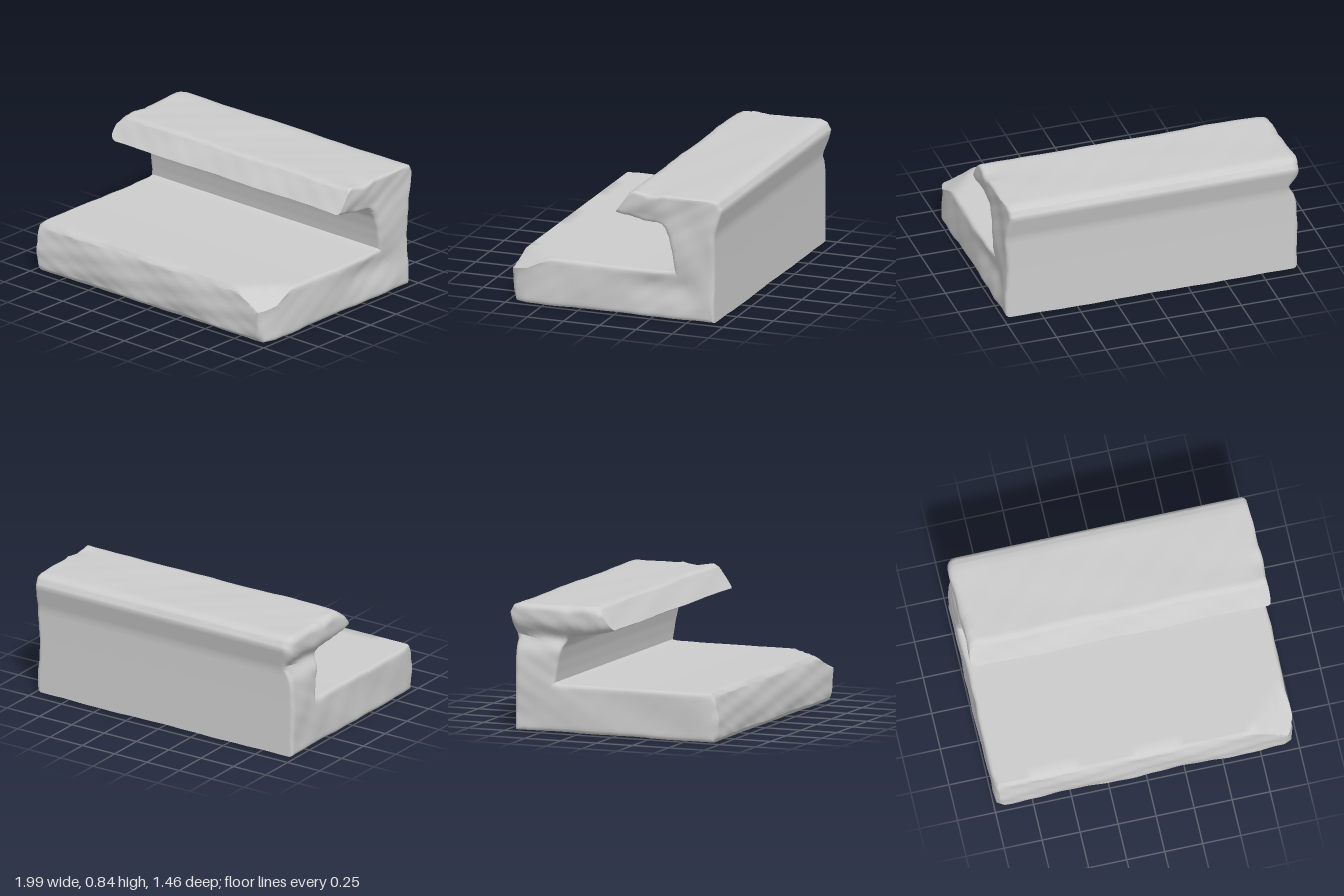
import * as THREE from 'three';
import { toCreasedNormals } from 'three/addons/utils/BufferGeometryUtils.js';

// Stations along the hooked cross-section: outer z, y and inner z, y
const STATIONS = [
  [0.725, 0.04, 0.705, 0.305],
  [0.69, 0.01, 0.68, 0.328],
  [0.3, 0.012, 0.3, 0.326],
  [-0.1, 0.012, -0.2, 0.325],
  [-0.45, 0.012, -0.37, 0.328],
  [-0.68, 0.012, -0.405, 0.335],
  [-0.68, 0.2, -0.4, 0.38],
  [-0.68, 0.4, -0.385, 0.47],
  [-0.682, 0.6, -0.362, 0.56],
  [-0.73, 0.775, -0.335, 0.61],
  [-0.705, 0.82, -0.31, 0.633],
  [-0.66, 0.836, -0.27, 0.64],
  [-0.4, 0.836, -0.19, 0.647],
  [-0.25, 0.836, -0.12, 0.66],
  [-0.125, 0.838, -0.02, 0.683],
  [-0.095, 0.825, -0.002, 0.692],
];

const bump = (v, centre, width) => Math.exp(-(((v - centre) / width) ** 2));

// Smooth weathering, roughly -1 to 1
const wear = (a, b, seed) =>
  0.5 * Math.sin(9 * a + 5 * b + seed) +
  0.3 * Math.sin(17 * b - 8 * a + seed * 2.3) +
  0.2 * Math.sin(31 * a + 23 * b + seed * 3.7);

// How far a rounded edge of radius r falls back at distance d from it
function rounding(d, r) {
  const t = 1 - Math.min(d / r, 1);
  return r * (1 - Math.sqrt(Math.max(0, 1 - t * t)));
}

// Maps unit block coordinates (length, thickness, run) to the stone surface
function placePoint(p) {
  const a = Math.sin((p.x * Math.PI) / 2);
  const v = 0.5 + 0.5 * Math.sin((p.y * Math.PI) / 2);
  const run = ((1 - p.z) / 2) * (STATIONS.length - 1);
  const i = Math.min(Math.floor(run), STATIONS.length - 2);
  const s = STATIONS[i].map((n, k) => THREE.MathUtils.lerp(n, STATIONS[i + 1][k], run - i));
  let z = THREE.MathUtils.lerp(s[0], s[2], v);
  let y = THREE.MathUtils.lerp(s[1], s[3], v);

  // Broken ends: rounded rims, rounded front corners and uneven faces
  const left = p.x > 0;
  const thickness = Math.hypot(s[2] - s[0], s[3] - s[1]);
  const upper = THREE.MathUtils.smoothstep(y, 0.6, 0.8);
  let half = left ? 0.99 : 1.0;
  half -= rounding(Math.min(v, 1 - v) * thickness, left ? 0.025 : 0.025 + 0.035 * upper);
  if (z > 0.3) half -= rounding(Math.max(0.73 - z, 0), left ? 0.11 : 0.08);
  half -= 0.009 * (1 + wear(y * 1.6, z * 1.3, left ? 1 : 4));
  if (left) {
    half -= 0.025 * bump(y, 0.22, 0.08) * bump(z, -0.3, 0.25);
    half -= 0.02 * bump(y, 0.66, 0.06) * bump(z, -0.15, 0.15);
  } else {
    half -= 0.055 * bump(y, 0.62, 0.06);
  }
  const x = a * half;

  // Uneven front face, bottom rim and lip
  const front = 1 - Math.min(run, 1);
  const lip = THREE.MathUtils.smoothstep(run, 13, 15);
  z += front * (0.008 * wear(x, y * 3, 2) + 0.015 * (4 * v * (1 - v)) - 0.005);
  z += lip * 0.006 * wear(x, y * 2, 5);
  if (y < 0.1) y += 0.005 * wear(x * 0.8, z * 0.6, 3);
  if (y > 0.8) y += 0.004 * wear(x * 0.7, z, 6);

  // Ragged ends of the overhang
  const rim = THREE.MathUtils.smoothstep(Math.abs(x), 0.88, 0.99);
  if (y > 0.6 && z > -0.35) y += rim * 0.01 * wear(z * 3, y, left ? 7 : 9);

  // Chipped front corner of the ledge
  if (z > 0.3 && x > 0.3) {
    const cut = 0.33 - 0.43 * (x - 0.7 + z - 0.7) + 0.006 * wear(x * 2, z * 2, 8);
    if (y < 0.36) y = Math.min(y, Math.max(cut, 0.18));
  }
  p.set(x, Math.max(y, 0), z);
}

export function createModel() {
  const group = new THREE.Group();
  group.name = 'hookedStoneBlock';

  const block = new THREE.BoxGeometry(2, 2, 2, 90, 16, (STATIONS.length - 1) * 5);
  const pos = block.attributes.position;
  const p = new THREE.Vector3();
  for (let i = 0; i < pos.count; i++) {
    p.fromBufferAttribute(pos, i);
    placePoint(p);
    pos.setXYZ(i, p.x, p.y, p.z);
  }
  block.deleteAttribute('uv');

  const stone = new THREE.Mesh(
    toCreasedNormals(block, 0.8),
    new THREE.MeshStandardMaterial({ color: 0xcccccc })
  );
  stone.name = 'stoneLedgeWithOverhang';
  group.add(stone);
  return group;
}
